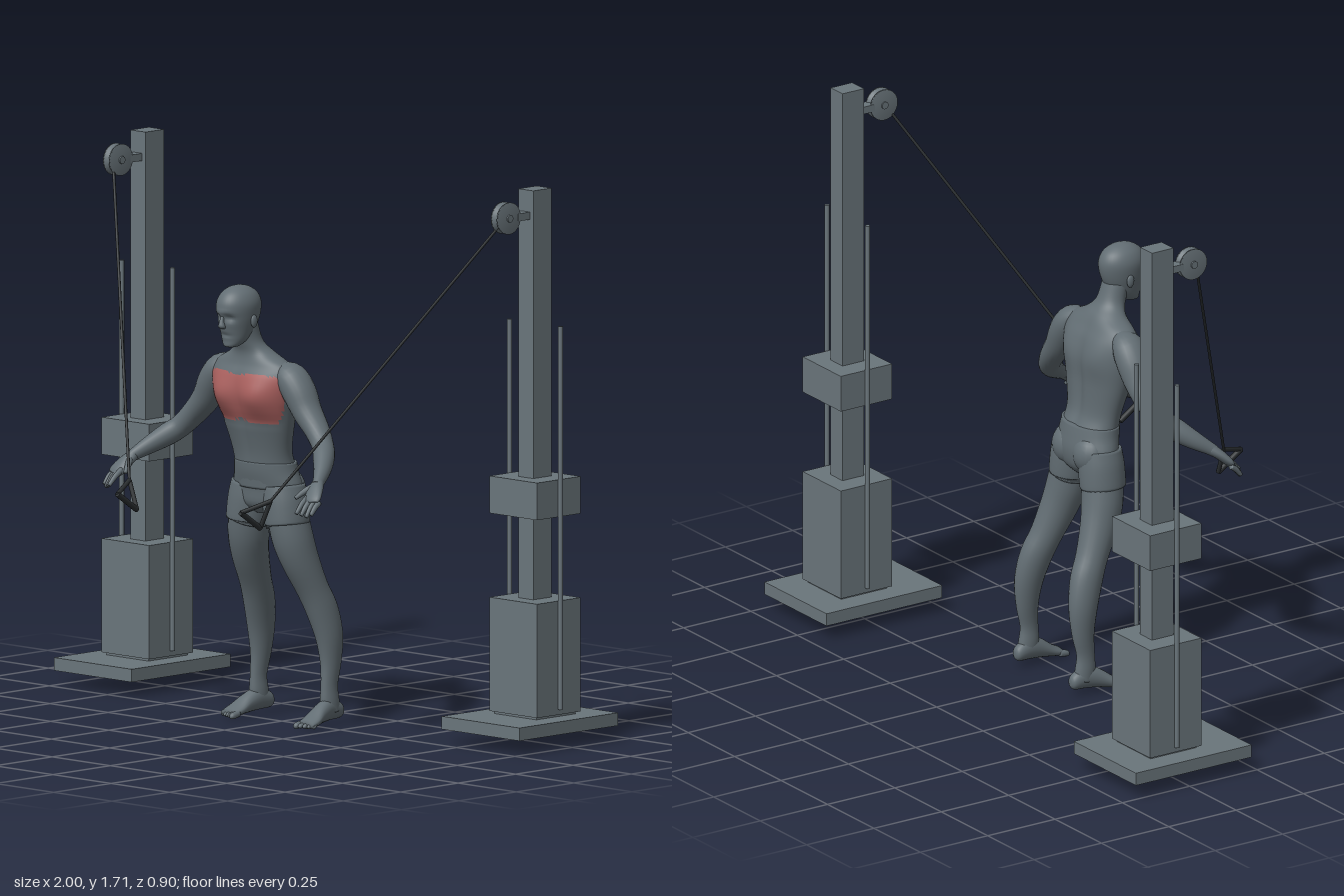
import * as THREE from 'three';

const mat = (name, color) => Object.assign(new THREE.MeshStandardMaterial({ color }), { name });
const V = (a) => new THREE.Vector3(...a);
const gauss = (d, w) => Math.exp(-(d * d) / (w * w));
const X = new THREE.Vector3(1, 0, 0), Y = new THREE.Vector3(0, 1, 0), Z = new THREE.Vector3(0, 0, 1);

// Smooth skin over elliptical sections [x, y, z, radiusA, radiusB].
// axis fixes the section direction, deform(p) sculpts, paint(p) picks a material index.
function loft(sections, { seg = 20, sub = 4, axis, deform, paint, mirror = 1 } = {}) {
  const n = sections.length, rows = (n - 1) * sub + 1, pos = [], centres = [];
  const at = (k) => sections[Math.min(Math.max(k, 0), n - 1)];
  for (let r = 0; r < rows; r++) {
    const i = Math.min(Math.floor(r / sub), n - 2), t = r / sub - i;
    centres.push(at(i).map((_, k) => {
      const [a, b, c, d] = [at(i - 1)[k], at(i)[k], at(i + 1)[k], at(i + 2)[k]];
      const v = b + 0.5 * t * (c - a + t * (2 * a - 5 * b + 4 * c - d + t * (3 * (b - c) + d - a)));
      return k === 0 ? v * mirror : v;
    }));
  }
  const put = (p) => { if (deform) deform(p); pos.push(p.x, p.y, p.z); };
  centres.forEach((c, r) => {
    const next = centres[Math.min(r + 1, rows - 1)], prev = centres[Math.max(r - 1, 0)];
    const T = axis ?? V(next.slice(0, 3)).sub(V(prev.slice(0, 3))).normalize();
    const A = X.clone().addScaledVector(T, -T.x).normalize(), B = T.clone().cross(A);
    for (let j = 0; j < seg; j++) {
      const th = (j / seg) * Math.PI * 2;
      put(V(c.slice(0, 3)).addScaledVector(A, Math.cos(th) * c[3]).addScaledVector(B, Math.sin(th) * c[4]));
    }
  });
  put(V(centres[0].slice(0, 3)));
  put(V(centres[rows - 1].slice(0, 3)));
  const faces = [[], []];
  const tri = (...f) => {
    const mid = new THREE.Vector3();
    f.forEach((q) => mid.add(V(pos.slice(q * 3, q * 3 + 3))));
    faces[paint ? paint(mid.divideScalar(3)) : 0].push(...f);
  };
  for (let j = 0; j < seg; j++) {
    const k = (j + 1) % seg, last = (rows - 1) * seg;
    tri(rows * seg, k, j);
    for (let r = 0; r < rows - 1; r++) {
      const a = r * seg + j, b = r * seg + k;
      tri(a, b, a + seg);
      tri(b, b + seg, a + seg);
    }
    tri(rows * seg + 1, last + j, last + k);
  }
  const g = new THREE.BufferGeometry();
  g.setAttribute('position', new THREE.Float32BufferAttribute(pos, 3));
  g.setIndex(faces.flat());
  g.addGroup(0, faces[0].length, 0);
  g.addGroup(faces[0].length, faces[1].length, 1);
  g.computeVertexNormals();
  return g;
}

export function createModel() {
  const root = new THREE.Group();
  const steel = mat('machine grey', 0x6a757b), skin = mat('body grey', 0x626d73);
  const red = mat('chest red', 0xa9605e), dark = mat('cable black', 0x2b2f31);
  const figure = new THREE.Group();
  figure.name = 'figure';
  root.add(figure);

  const add = (parent, name, geo, material, p = [0, 0, 0]) => {
    const m = new THREE.Mesh(geo, material);
    m.name = name;
    m.position.set(...p);
    parent.add(m);
    return m;
  };
  const ball = (name, p, r) => add(figure, name, new THREE.SphereGeometry(1, 20, 14), skin, p).scale.set(...r);
  const rod = (parent, name, a, b, r, material) => {
    const d = V(b).sub(V(a));
    const m = add(parent, name, new THREE.CylinderGeometry(r, r, d.length(), 10), material);
    m.position.copy(V(a)).addScaledVector(d, 0.5);
    m.quaternion.setFromUnitVectors(Y, d.normalize());
  };

  // Torso and neck, with the chest muscles painted
  add(figure, 'torso', loft([
    [0, 0.74, 0.065, 0.115, 0.07], [0, 0.80, 0.07, 0.11, 0.073], [0, 0.86, 0.086, 0.112, 0.066],
    [0, 0.95, 0.1, 0.135, 0.076], [0, 1.03, 0.11, 0.155, 0.088], [0, 1.09, 0.116, 0.165, 0.08],
    [0, 1.13, 0.118, 0.145, 0.063], [0, 1.165, 0.126, 0.08, 0.052], [0, 1.2, 0.147, 0.049, 0.044],
    [0, 1.26, 0.17, 0.045, 0.045],
  ], {
    seg: 64, sub: 6, axis: Y,
    deform: (p) => {
      const ax = Math.abs(p.x);
      if (p.z > 0.13) {
        p.z += 0.02 * gauss(ax - 0.075, 0.055) * gauss(p.y - 1.03, 0.055);
        p.z -= 0.005 * gauss(p.x, 0.012) * gauss(p.y - 0.95, 0.13);
        p.z -= 0.004 * gauss(p.y - 0.955, 0.012);
      } else if (p.z < 0.09) {
        p.z += 0.012 * gauss(p.x, 0.02) * gauss(p.y - 0.95, 0.15);
        p.z -= 0.008 * gauss(ax - 0.075, 0.04) * gauss(p.y - 1.06, 0.06);
      }
    },
    paint: (p) => (p.z > 0.135 && ((Math.abs(p.x) - 0.075) / 0.092) ** 4 + ((p.y - 1.028) / 0.075) ** 4 < 1 ? 1 : 0),
  }), [skin, red]);

  // Head with eye sockets, brow and mouth
  add(figure, 'head', loft([
    [0, 1.187, 0.222, 0.012, 0.012], [0, 1.192, 0.218, 0.025, 0.026], [0, 1.21, 0.205, 0.038, 0.041],
    [0, 1.24, 0.193, 0.048, 0.06], [0, 1.28, 0.189, 0.057, 0.074], [0, 1.32, 0.188, 0.06, 0.078],
    [0, 1.35, 0.187, 0.049, 0.064], [0, 1.369, 0.187, 0.028, 0.037], [0, 1.376, 0.187, 0.006, 0.008],
  ], {
    seg: 40, sub: 6, axis: Y,
    deform: (p) => {
      if (p.z < 0.21) return;
      p.z -= 0.012 * gauss(Math.abs(p.x) - 0.023, 0.014) * gauss(p.y - 1.28, 0.011);
      p.z += 0.004 * gauss(p.x, 0.035) * gauss(p.y - 1.298, 0.008);
      p.z -= 0.005 * gauss(p.x, 0.02) * gauss(p.y - 1.226, 0.005);
    },
  }), skin);
  add(figure, 'nose', loft([
    [0, 1.292, 0.255, 0.005, 0.006], [0, 1.27, 0.262, 0.007, 0.008],
    [0, 1.254, 0.262, 0.012, 0.011], [0, 1.246, 0.256, 0.006, 0.006],
  ], { seg: 12, axis: Y.clone().negate() }), skin);

  // Shorts: hips
  add(figure, 'shorts', loft([
    [0, 0.66, 0.06, 0.03, 0.04], [0, 0.69, 0.06, 0.11, 0.066], [0, 0.74, 0.058, 0.13, 0.074],
    [0, 0.79, 0.067, 0.118, 0.077], [0, 0.822, 0.072, 0.113, 0.076],
  ], { seg: 32, axis: Y }), skin);

  for (const s of [1, -1]) {
    const side = s > 0 ? 'left' : 'right';
    const limb = (name, sections, opts = {}) => add(figure, `${side} ${name}`, loft(sections, { mirror: s, ...opts }), skin);

    ball(`${side} ear`, [s * 0.058, 1.268, 0.18], [0.007, 0.02, 0.013]);
    ball(`${side} buttock`, [s * 0.055, 0.735, 0.035], [0.062, 0.065, 0.056]);
    limb('shorts leg', [
      [0.068, 0.75, 0.06, 0.062, 0.068], [0.074, 0.70, 0.06, 0.069, 0.073],
      [0.083, 0.637, 0.06, 0.067, 0.073], [0.083, 0.634, 0.06, 0.063, 0.068],
    ], { seg: 28 });
    limb('leg', [
      [0.08, 0.67, 0.06, 0.06, 0.066], [0.094, 0.59, 0.05, 0.062, 0.066], [0.107, 0.52, 0.03, 0.056, 0.061],
      [0.122, 0.43, -0.008, 0.049, 0.051], [0.135, 0.36, -0.038, 0.045, 0.053], [0.146, 0.28, -0.057, 0.038, 0.048],
      [0.15, 0.2, -0.06, 0.028, 0.038], [0.152, 0.13, -0.052, 0.021, 0.031], [0.152, 0.08, -0.053, 0.024, 0.035],
      [0.152, 0.045, -0.058, 0.024, 0.036],
    ], { seg: 24 });
    limb('foot', [
      [0.15, 0.045, -0.107, 0.008, 0.01], [0.15, 0.047, -0.095, 0.021, 0.025], [0.152, 0.055, -0.05, 0.025, 0.036],
      [0.157, 0.044, -0.005, 0.029, 0.03], [0.163, 0.027, 0.035, 0.036, 0.019], [0.165, 0.018, 0.065, 0.034, 0.012],
    ], { axis: Z });
    for (let i = 0; i < 5; i++) {
      const x = 0.137 + i * 0.014, r = i === 0 ? 0.01 : 0.0075, tip = 0.086 - i * 0.005;
      limb('toe', [[x, 0.018, 0.05, r, r], [x, 0.014, tip - 0.008, r, r], [x, 0.012, tip, r * 0.3, r * 0.3]], { seg: 10, axis: Z });
    }

    // Shoulder to wrist
    limb('arm', [
      [0.1, 1.115, 0.112, 0.025, 0.03], [0.145, 1.098, 0.11, 0.045, 0.052], [0.18, 1.055, 0.108, 0.05, 0.055],
      [0.215, 0.998, 0.108, 0.044, 0.048], [0.262, 0.945, 0.113, 0.037, 0.042], [0.305, 0.9, 0.13, 0.033, 0.036],
      [0.337, 0.872, 0.16, 0.033, 0.035], [0.37, 0.842, 0.2, 0.026, 0.028], [0.395, 0.815, 0.24, 0.018, 0.02],
      [0.402, 0.804, 0.255, 0.018, 0.018],
    ], { seg: 24 });
    limb('palm', [
      [0.395, 0.815, 0.24, 0.017, 0.018], [0.407, 0.793, 0.268, 0.027, 0.016],
      [0.419, 0.768, 0.293, 0.031, 0.013], [0.424, 0.757, 0.303, 0.025, 0.008],
    ], { seg: 18 });
    for (let i = 0; i < 4; i++) {
      const a = [0.398 + i * 0.015, 0.772 - i * 0.004, 0.293 - i * 0.002];
      const b = [0.402 + i * 0.014, 0.728 - i * 0.005 + (i === 3 ? 0.012 : 0), 0.345 - i * 0.007];
      const mid = a.map((v, k) => (v + b[k]) / 2 + (k === 1 ? 0.004 : 0));
      limb('finger', [[...a, 0.009, 0.009], [...mid, 0.0085, 0.0085], [...b, 0.006, 0.006]], { seg: 10 });
    }
    limb('thumb', [
      [0.398, 0.805, 0.258, 0.011, 0.011], [0.379, 0.788, 0.285, 0.01, 0.01], [0.365, 0.768, 0.312, 0.006, 0.006],
    ], { seg: 10 });

    // Cable tower
    const tower = new THREE.Group();
    tower.name = `${side} cable tower`;
    root.add(tower);
    const cx = s * 0.833, pz = -0.257;
    const box = (name, w, y0, y1, d, z) =>
      add(tower, name, new THREE.BoxGeometry(w, y1 - y0, d), steel, [cx, (y0 + y1) / 2, z]);
    box('base plate', 0.334, 0.05, 0.09, 0.43, -0.235);
    box('post', 0.064, 0.09, 1.715, 0.08, pz);
    box('weight stack', 0.205, 0.098, 0.45, 0.19, pz);
    box('stack foot', 0.18, 0.088, 0.1, 0.17, pz);
    box('carriage', 0.205, 0.71, 0.825, 0.19, pz);
    for (const o of [-0.109, 0.109]) rod(tower, 'guide rod', [cx + o, 0.115, pz], [cx + o, 1.3, pz], 0.008, steel);

    // Grooved pulley and its bracket
    const profile = [[0, -0.016], [0.049, -0.016], [0.049, -0.009], [0.04, -0.004], [0.04, 0.004], [0.049, 0.009], [0.049, 0.016], [0, 0.016]];
    const wheel = new THREE.LatheGeometry(profile.map((p) => new THREE.Vector2(...p)), 28);
    add(tower, 'pulley', wheel, steel, [cx, 1.637, -0.13]).rotation.z = Math.PI / 2;
    box('bracket', 0.036, 1.625, 1.648, 0.055, -0.195);
    rod(tower, 'axle', [cx - 0.021, 1.637, -0.13], [cx + 0.021, 1.637, -0.13], 0.012, steel);

    // Cable and triangular handle
    const apex = [s * 0.303, 0.757, 0.357], front = [s * 0.265, 0.727, 0.447], low = [s * 0.265, 0.67, 0.363];
    rod(tower, 'cable', [s * 0.826, 1.61, -0.104], apex, 0.0045, dark);
    rod(tower, 'handle strap', apex, front, 0.007, dark);
    rod(tower, 'handle strap', apex, low, 0.007, dark);
    rod(tower, 'handle grip', front, low, 0.009, dark);
  }
  return root;
}
